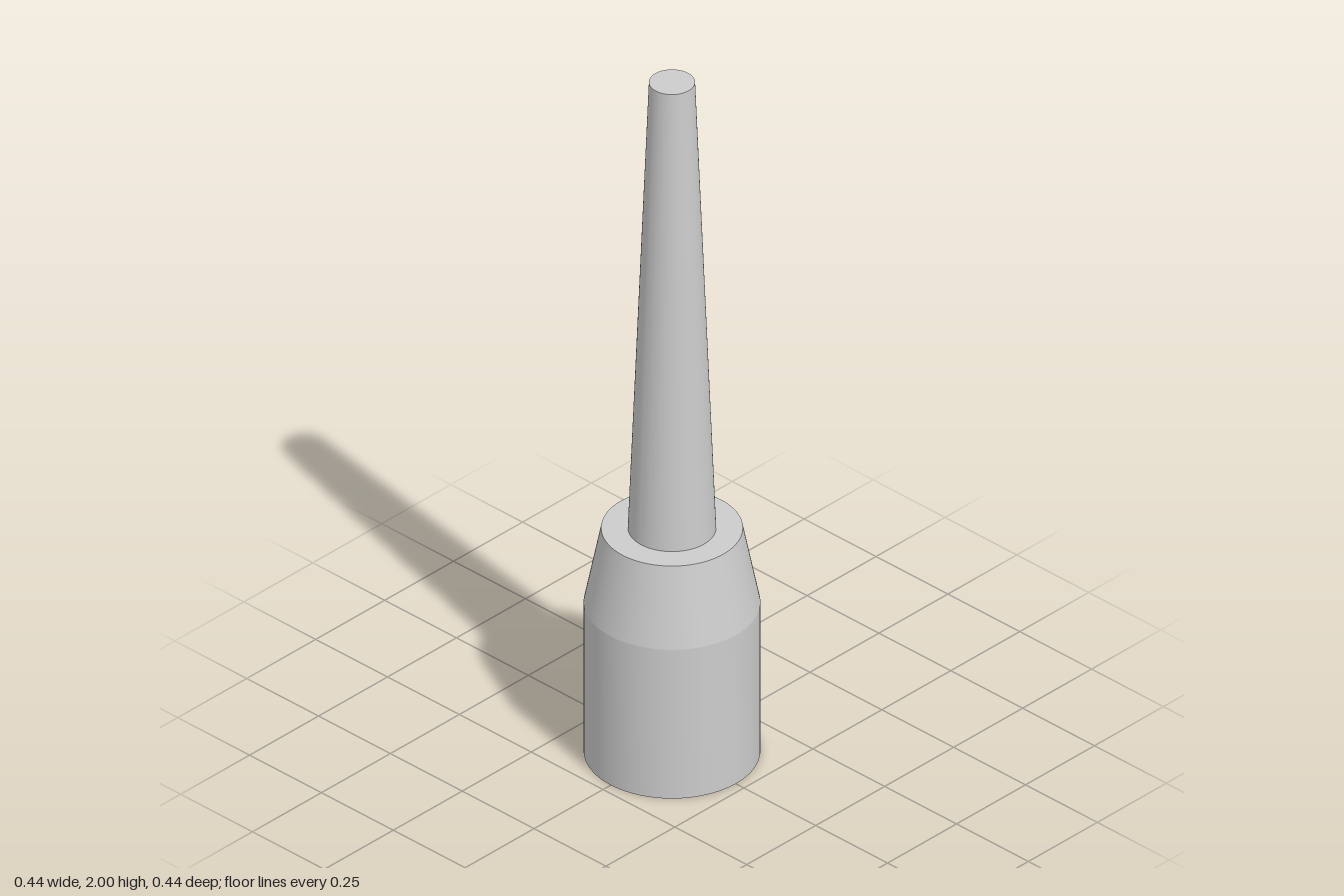
import * as THREE from 'three';
import { toCreasedNormals } from 'three/addons/utils/BufferGeometryUtils.js';

const SEGMENTS = 96;
const BORE = 0.155;
const BORE_TOP = 0.4;
const material = new THREE.MeshStandardMaterial({ color: 0xcccccc });

// Turned part from a profile of [radius, height], with crisp edges
function turned(name, profile) {
  const points = profile.map(([r, y]) => new THREE.Vector2(r, y));
  const geometry = toCreasedNormals(new THREE.LatheGeometry(points, SEGMENTS), 0.12);
  const mesh = new THREE.Mesh(geometry, material);
  mesh.name = name;
  return mesh;
}

// Helical ridge on the bore wall, fading out at both ends
function internalThread() {
  const pitch = 0.067, yStart = 0.045, yEnd = 0.365, perTurn = 64;
  const section = [[0, 0.026], [0.044, 0.008], [0.044, -0.008], [0, -0.026]];
  const turns = (yEnd - yStart) / pitch;
  const steps = Math.round(turns * perTurn);
  const positions = [], indices = [];
  for (let i = 0; i <= steps; i++) {
    const t = i / steps;
    const angle = t * turns * Math.PI * 2;
    const fade = Math.min(1, i / 6, (steps - i) / 6);
    for (const [depth, dy] of section) {
      const r = BORE + 0.001 - depth * fade;
      const y = yStart + t * (yEnd - yStart) + dy * fade;
      positions.push(r * Math.sin(angle), y, r * Math.cos(angle));
    }
  }
  const n = section.length;
  for (let i = 0; i < steps; i++) {
    for (let j = 0; j < n - 1; j++) {
      const a = i * n + j, b = a + n;
      indices.push(a, b, a + 1, b + 1, a + 1, b);
    }
  }
  const geometry = new THREE.BufferGeometry();
  geometry.setAttribute('position', new THREE.Float32BufferAttribute(positions, 3));
  geometry.setIndex(indices);
  const threadMaterial = material.clone();
  threadMaterial.side = THREE.DoubleSide;
  const mesh = new THREE.Mesh(toCreasedNormals(geometry, 0.4), threadMaterial);
  mesh.name = 'internalThread';
  return mesh;
}

export function createModel() {
  const group = new THREE.Group();
  group.name = 'threadedTip';

  // Hollow collar: bore ceiling, bore wall, base ring, barrel, tapered shoulder
  group.add(turned('collar', [
    [0, BORE_TOP], [BORE, BORE_TOP], [BORE, 0], [0.222, 0],
    [0.222, 0.445], [0.178, 0.667], [0.108, 0.667],
  ]));

  // Long tapered spike with a flat end
  group.add(turned('spike', [[0.111, 0.667], [0.058, 2], [0, 2]]));

  group.add(internalThread());
  return group;
}
